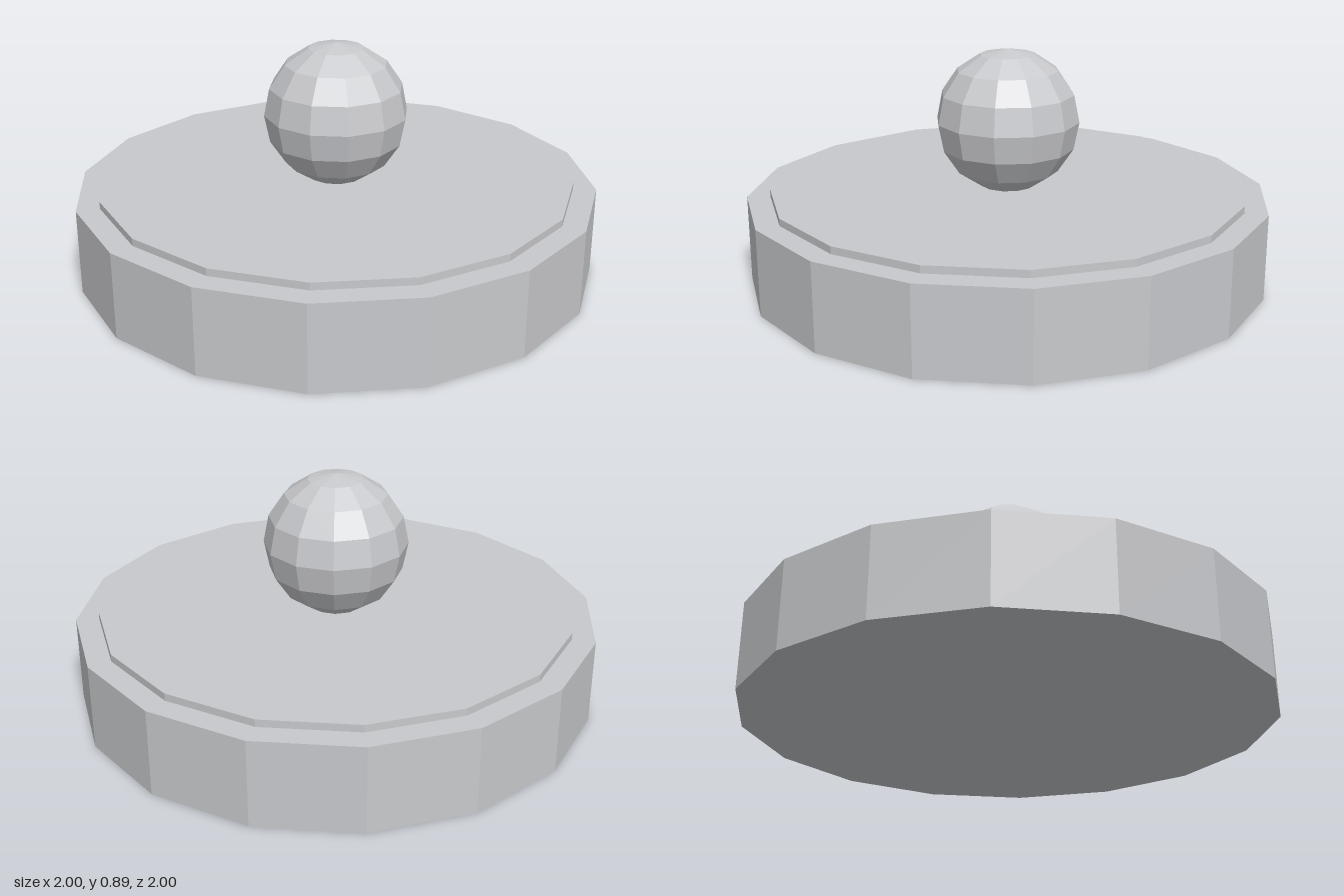
import * as THREE from 'three';

export function createModel() {
  const model = new THREE.Group();
  const grey = new THREE.MeshStandardMaterial({ color: 0xc8c9cc });
  grey.name = 'light grey';

  // Faceted look: every face gets its own flat normal
  const add = (name, geometry, y) => {
    const flat = geometry.toNonIndexed();
    flat.computeVertexNormals();
    const mesh = new THREE.Mesh(flat, grey);
    mesh.name = name;
    mesh.position.y = y;
    model.add(mesh);
  };
  // Sixteen-sided disc standing on height y
  const disc = (name, radius, height, y) =>
    add(name, new THREE.CylinderGeometry(radius, radius, height, 16), y + height / 2);

  disc('base', 1, 0.33, 0);
  disc('raisedTopPlate', 0.912, 0.028, 0.33);

  // Ball sunk slightly into the top plate
  add('ball', new THREE.SphereGeometry(0.276, 12, 8), 0.614);

  return model;
}
